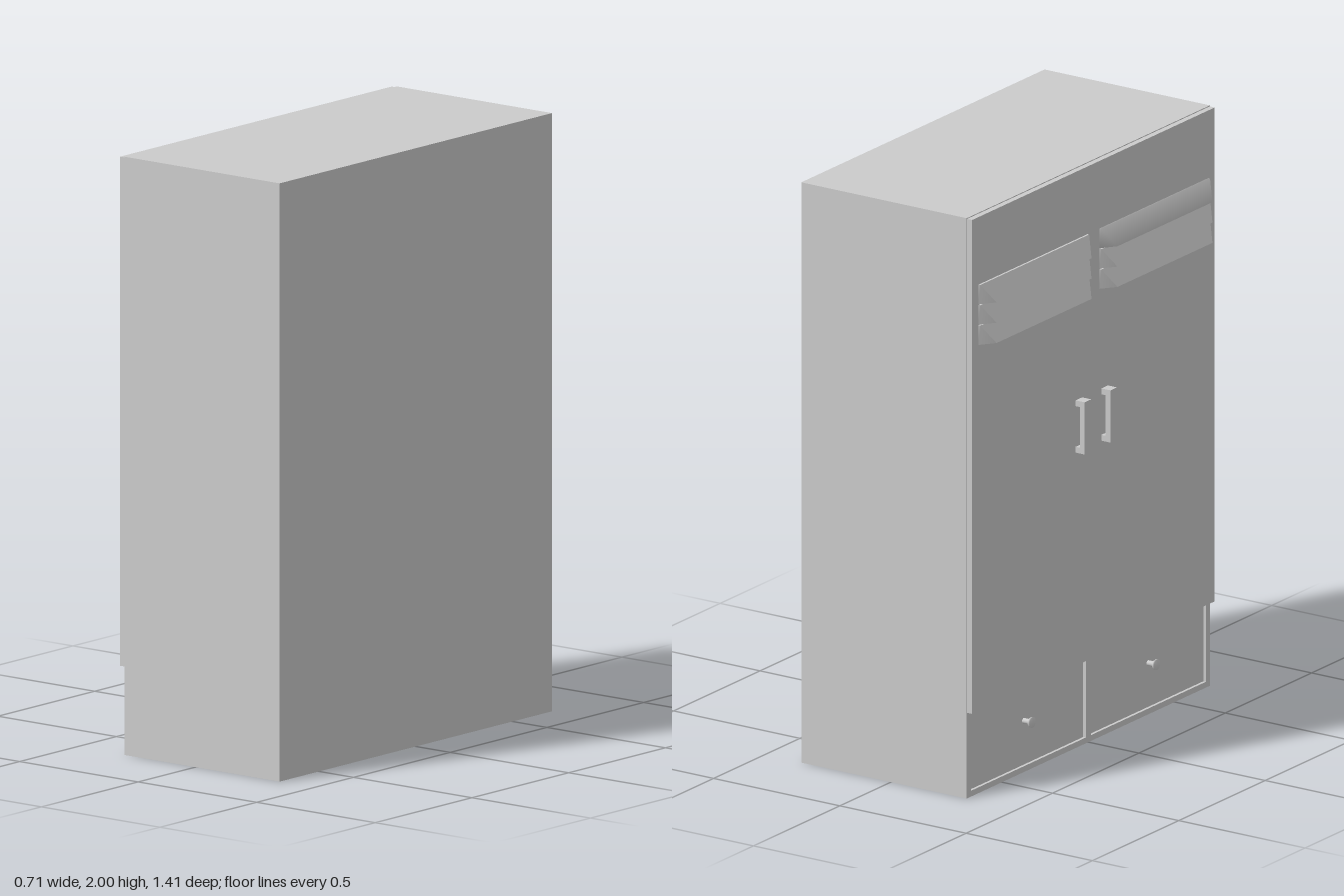
import * as THREE from 'three';
import { mergeVertices } from 'three/addons/utils/BufferGeometryUtils.js';

const material = new THREE.MeshStandardMaterial({ color: 0xcccccc });

export function createModel() {
  const model = new THREE.Group();
  model.name = 'wardrobe';

  const add = (name, geometry, x = 0, y = 0, z = 0) => {
    const mesh = new THREE.Mesh(geometry, material);
    mesh.name = name;
    mesh.position.set(x, y, z);
    model.add(mesh);
    return mesh;
  };
  // Box given by its limits on each axis
  const block = (name, [x0, x1], [y0, y1], [z0, z1]) =>
    add(name, new THREE.BoxGeometry(x1 - x0, y1 - y0, z1 - z0),
      (x0 + x1) / 2, (y0 + y1) / 2, (z0 + z1) / 2);
  const rectangle = (Type, x0, x1, y0, y1) => new Type([
    new THREE.Vector2(x0, y0), new THREE.Vector2(x1, y0),
    new THREE.Vector2(x1, y1), new THREE.Vector2(x0, y1),
  ]);

  // Carcass, extruded along x with an opening for each drawer
  const outline = rectangle(THREE.Shape, -0.704, 0.704, 0, 2);
  outline.holes.push(
    rectangle(THREE.Path, -0.68, -0.015, 0.02, 0.285),
    rectangle(THREE.Path, 0.015, 0.68, 0.02, 0.285));
  const carcass = new THREE.ExtrudeGeometry(outline, { depth: 0.63, bevelEnabled: false });
  carcass.rotateY(-Math.PI / 2);
  add('carcass', carcass, 0.33);
  block('backPanel', [0.33, 0.355], [0, 2], [-0.704, 0.704]);

  // Louvre slat: a wedge with a thin top and slanted ends
  const slatGeometry = (smooth) => {
    let geometry = new THREE.BoxGeometry(0.038, 0.068, 0.63);
    const p = geometry.attributes.position;
    for (let i = 0; i < p.count; i++) {
      if (p.getX(i) > 0) continue;
      if (p.getY(i) > 0) p.setX(i, 0.011);
      else p.setZ(i, p.getZ(i) + (p.getZ(i) > 0 ? -0.03 : 0.05));
    }
    if (smooth) {
      geometry.deleteAttribute('normal');
      geometry.deleteAttribute('uv');
      geometry = mergeVertices(geometry);
    }
    geometry.computeVertexNormals();
    return geometry;
  };

  // C-shaped pull handle, cut in profile
  const pull = new THREE.Shape([
    [0, 0], [-0.037, 0], [-0.037, 0.18], [0, 0.18],
    [0, 0.16], [-0.018, 0.16], [-0.018, 0.02], [0, 0.02],
  ].map(([x, y]) => new THREE.Vector2(x, y)));
  const handle = new THREE.ExtrudeGeometry(pull, { depth: 0.038, bevelEnabled: false });

  // Knob, narrow at the drawer and wide at the tip
  const knob = new THREE.LatheGeometry([
    [0, 0], [0.009, 0], [0.009, 0.02], [0.018, 0.03], [0.018, 0.036], [0, 0.036],
  ].map(([r, y]) => new THREE.Vector2(r, y)), 16);
  knob.rotateZ(Math.PI / 2);

  // Two doors with louvres and handles, over two drawers
  for (const side of [-1, 1]) {
    const z = side * 0.35;
    const label = side < 0 ? 'far' : 'near';
    block(label + 'Door', [-0.32, -0.3], [0.295, 1.997], side < 0 ? [-0.702, 0] : [0, 0.702]);
    for (let i = 0; i < 3; i++) {
      add(label + 'LouvreSlat', slatGeometry(side > 0 && i === 0), -0.338, 1.73 - i * 0.07, z);
    }
    add(label + 'Handle', handle, -0.319, 1.03, side < 0 ? -0.103 : 0.046);
    block(label + 'Drawer', [-0.29, 0.33], [0.02, 0.285], side < 0 ? [-0.68, -0.015] : [0.015, 0.68]);
    add(label + 'Knob', knob, -0.29, 0.172, side * 0.36);
  }

  return model;
}
